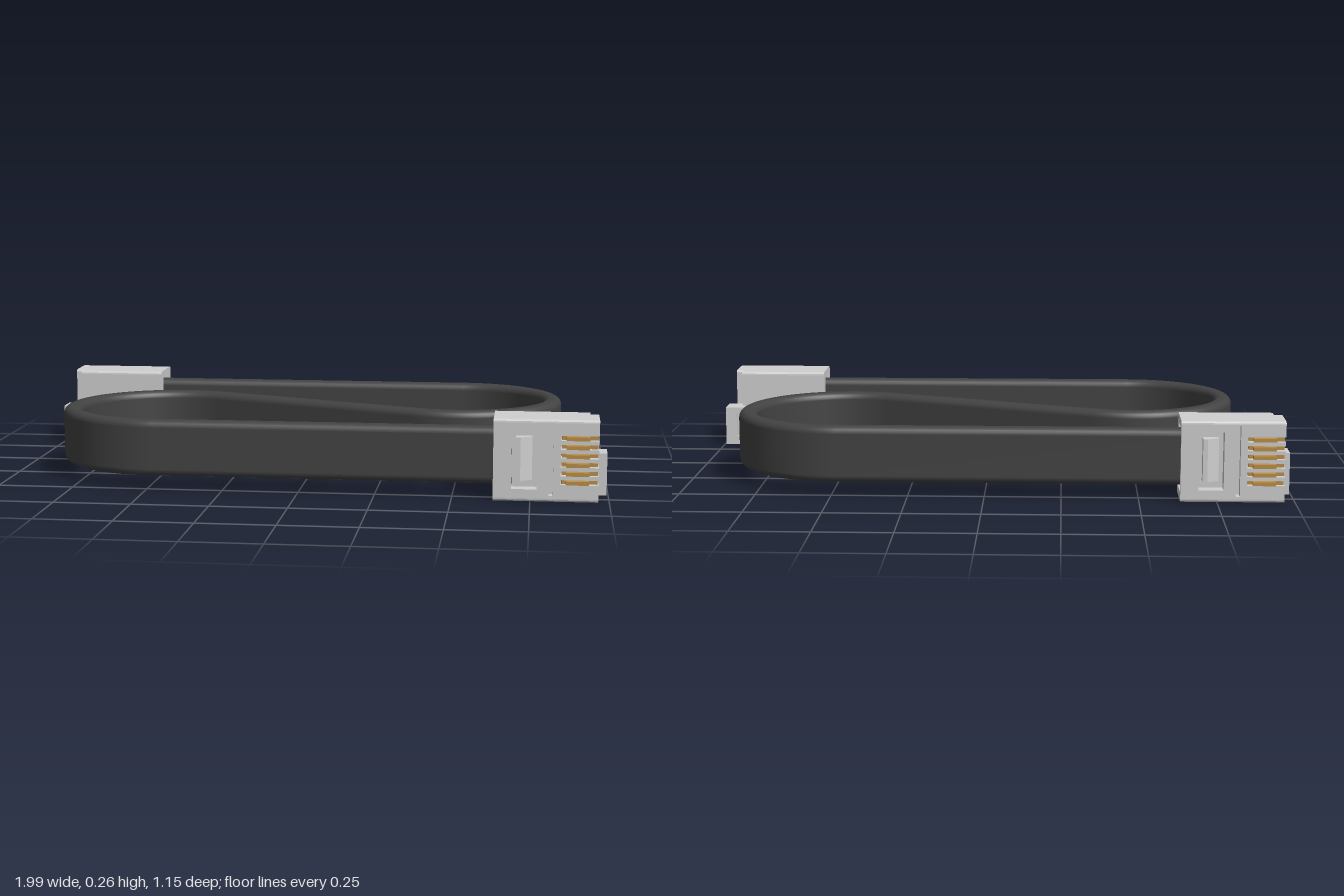
import * as THREE from 'three';

const plastic = new THREE.MeshStandardMaterial({ color: 0xd0d0d0 });
plastic.name = 'light grey plastic';
const rubber = new THREE.MeshStandardMaterial({ color: 0x434343 });
rubber.name = 'dark cable sheath';
const gold = new THREE.MeshStandardMaterial({ color: 0xbe9048 });
gold.name = 'gold contact';

const FRONT = 0.56, BACK = 0.387, HEIGHT = 0.265;
const PIN_YS = Array.from({ length: 6 }, (_, i) => 0.064 + i * 0.0284);

function addMesh(parent, name, geometry, material) {
  const mesh = new THREE.Mesh(geometry, material);
  mesh.name = name;
  parent.add(mesh);
  return mesh;
}

function addBox(parent, name, material, x0, x1, y0, y1, z0, z1) {
  const box = addMesh(parent, name, new THREE.BoxGeometry(x1 - x0, y1 - y0, z1 - z0), material);
  box.position.set((x0 + x1) / 2, (y0 + y1) / 2, (z0 + z1) / 2);
}

// Closed rectangle path, used for holes
function rectPath(x0, x1, y0, y1) {
  return new THREE.Path([[x0, y0], [x0, y1], [x1, y1], [x1, y0]].map(p => new THREE.Vector2(...p)));
}

// Slice of the plug body from x0 to x1; notches are [y0, y1, depth] cuts in its front
function bodySlice(x0, x1, { back = BACK, notches = [], hole = null } = {}) {
  const r = 0.011, f = -FRONT, b = -back;
  const s = new THREE.Shape();
  s.moveTo(f + r, 0);
  s.lineTo(b - r, 0);
  s.quadraticCurveTo(b, 0, b, r);
  s.lineTo(b, HEIGHT - r);
  s.quadraticCurveTo(b, HEIGHT, b - r, HEIGHT);
  s.lineTo(f + r, HEIGHT);
  s.quadraticCurveTo(f, HEIGHT, f, HEIGHT - r);
  for (const [y0, y1, d] of [...notches].reverse()) {
    s.lineTo(f, y1);
    s.lineTo(f + d, y1);
    s.lineTo(f + d, y0);
    s.lineTo(f, y0);
  }
  s.lineTo(f, r);
  s.quadraticCurveTo(f, 0, f + r, 0);
  if (hole) s.holes.push(hole);
  return new THREE.ExtrudeGeometry(s, { depth: x1 - x0, bevelEnabled: false, curveSegments: 4 })
    .rotateY(Math.PI / 2).translate(x0, 0, 0);
}

// Outline of [x, z] points raised from y0 to y1
function slab(points, y0, y1) {
  const s = new THREE.Shape(points.map(([x, z]) => new THREE.Vector2(x, -z)));
  return new THREE.ExtrudeGeometry(s, { depth: y1 - y0, bevelEnabled: false })
    .rotateX(-Math.PI / 2).translate(0, y0, 0);
}

function createPlug() {
  const plug = new THREE.Group();
  plug.name = 'plug';

  // Body, from the cable opening to the nose
  const slots = PIN_YS.map(y => [y - 0.008, y + 0.008, 0.055]);
  addMesh(plug, 'cableCollar', bodySlice(0.632, 0.69, { hole: rectPath(-0.54, -0.425, 0.03, 0.238) }), plastic);
  addMesh(plug, 'windowSection', bodySlice(0.69, 0.77, { notches: [[0.04, 0.23, 0.045]] }), plastic);
  addMesh(plug, 'rib', bodySlice(0.77, 0.808), plastic);
  addMesh(plug, 'groove', bodySlice(0.808, 0.822, { notches: [[0.02, 0.25, 0.03]] }), plastic);
  addMesh(plug, 'crossBar', bodySlice(0.822, 0.845), plastic);
  addMesh(plug, 'contactComb', bodySlice(0.845, 0.938, { notches: slots }), plastic);
  addMesh(plug, 'nose', bodySlice(0.938, 0.965, { back: 0.43, notches: slots }), plastic);

  // Sloping clamp inside the window
  addMesh(plug, 'cableClamp', slab([[0.703, 0.51], [0.755, 0.51], [0.755, 0.53], [0.718, 0.552], [0.703, 0.552]], 0.065, 0.205), plastic);

  // Gold contacts with raised tips
  for (const y of PIN_YS) {
    addBox(plug, 'contactBlade', gold, 0.848, 0.962, y - 0.006, y + 0.006, 0.503, 0.55);
    addBox(plug, 'contactTip', gold, 0.862, 0.935, y - 0.006, y + 0.006, 0.545, 0.573);
  }

  // Latch: slotted tab, wide root and narrow lever
  const face = new THREE.Shape([[0.91, 0], [0.995, 0], [0.995, 0.138], [0.91, 0.138]].map(p => new THREE.Vector2(...p)));
  face.holes.push(rectPath(0.93, 0.955, 0.03, 0.115));
  addMesh(plug, 'latchTabFace', new THREE.ExtrudeGeometry(face, { depth: 0.02, bevelEnabled: false }).translate(0, 0, 0.348), plastic);
  addMesh(plug, 'latchTab', slab([[0.91, 0.368], [0.995, 0.368], [0.995, 0.43], [0.935, 0.43], [0.935, 0.39], [0.91, 0.39]], 0, 0.138), plastic);
  addMesh(plug, 'latchRoot', slab([[0.91, 0.348], [0.91, 0.39], [0.885, 0.372], [0.785, 0.33], [0.79, 0.306], [0.88, 0.338]], 0, 0.138), plastic);
  addMesh(plug, 'latchLever', slab([[0.8, 0.31], [0.795, 0.332], [0.72, 0.304], [0.603, 0.272], [0.61, 0.25], [0.7, 0.278]], 0.04, 0.105), plastic);
  return plug;
}

// Flat cable swept from the centre, round one bend and into the plug
function cableGeometry() {
  const cx = -0.49, cz = 0.155, R = 0.33;
  const reach = Math.hypot(cx, cz);
  const heading = Math.asin(R / reach) - Math.atan2(cz, -cx);
  const a0 = heading - Math.PI / 2, a1 = -1.5 * Math.PI;
  const stations = [{ x: 0, z: 0, a: a0 }];
  for (let i = 0; i <= 48; i++) {
    const a = a0 + (a1 - a0) * i / 48;
    stations.push({ x: cx + R * Math.cos(a), z: cz + R * Math.sin(a), a });
  }
  stations.push({ x: 0.69, z: cz + R, a: a1 });

  // Rounded rectangular section: [offset, height, normal across, normal up]
  const hw = 0.031, hh = 0.093, r = 0.024, midY = 0.137, ring = [];
  [[1, 1], [-1, 1], [-1, -1], [1, -1]].forEach(([sx, sy], q) => {
    for (let k = 0; k <= 5; k++) {
      const t = (q + k / 5) * Math.PI / 2, c = Math.cos(t), s = Math.sin(t);
      ring.push([sx * (hw - r) + r * c, sy * (hh - r) + r * s, c, s]);
    }
  });

  const pos = [], nor = [], idx = [], n = ring.length;
  stations.forEach(({ x, z, a }, i) => {
    const sx = -Math.cos(a), sz = -Math.sin(a);
    for (const [u, v, nu, nv] of ring) {
      pos.push(x + sx * u, midY + v, z + sz * u);
      nor.push(sx * nu, nv, sz * nu);
    }
    if (i === stations.length - 1) return;
    for (let j = 0; j < n; j++) {
      const p = i * n + j, q = i * n + (j + 1) % n;
      idx.push(p, q, p + n, q, q + n, p + n);
    }
  });
  const g = new THREE.BufferGeometry();
  g.setAttribute('position', new THREE.Float32BufferAttribute(pos, 3));
  g.setAttribute('normal', new THREE.Float32BufferAttribute(nor, 3));
  g.setIndex(idx);
  return g;
}

export function createModel() {
  const model = new THREE.Group();
  model.name = 'flatCableWithPlugs';
  // Two identical halves, turned half a circle about the centre
  for (const turn of [0, Math.PI]) {
    const half = new THREE.Group();
    half.name = turn ? 'backHalf' : 'frontHalf';
    addMesh(half, 'cable', cableGeometry(), rubber);
    half.add(createPlug());
    half.rotation.y = turn;
    model.add(half);
  }
  return model;
}
